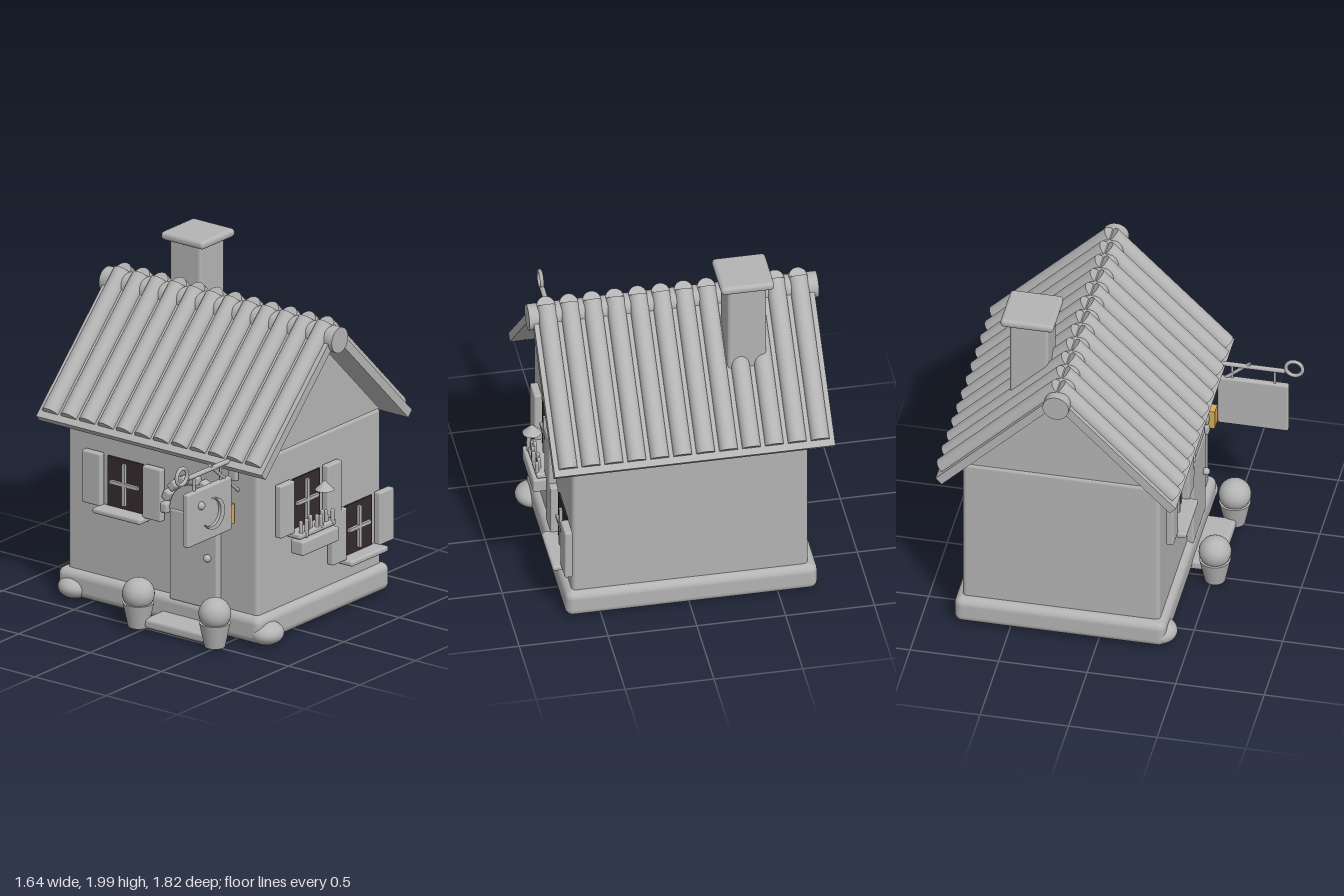
import * as THREE from 'three';
import { RoundedBoxGeometry } from 'three/addons/geometries/RoundedBoxGeometry.js';

const mat = (name, color) => {
  const m = new THREE.MeshStandardMaterial({ color });
  m.name = name;
  return m;
};

export function createModel() {
  const stone = mat('plain grey', 0xb4b4b4);
  const dark = mat('dark glass', 0x352b2e);
  const amber = mat('amber lamp', 0xd9ab55);
  const house = new THREE.Group();
  house.name = 'cottage';

  const add = (parent, name, geo, x, y, z, material = stone) => {
    const m = new THREE.Mesh(geo, material);
    m.name = name;
    m.position.set(x, y, z);
    parent.add(m);
    return m;
  };
  const group = (name, x, y, z, ry = 0) => {
    const g = new THREE.Group();
    g.name = name;
    g.position.set(x, y, z);
    g.rotation.y = ry;
    house.add(g);
    return g;
  };
  const rbox = (w, h, d, r = 0.01) => new RoundedBoxGeometry(w, h, d, 3, r);
  const box = (w, h, d) => new THREE.BoxGeometry(w, h, d);
  const ball = (r) => new THREE.SphereGeometry(r, 28, 18);
  // Round rod between two points
  const rod = (parent, name, a, b, r) => {
    const p = new THREE.Vector3(...a), q = new THREE.Vector3(...b);
    const m = add(parent, name, new THREE.CylinderGeometry(r, r, p.distanceTo(q), 14), 0, 0, 0);
    m.position.copy(p).lerp(q, 0.5);
    m.quaternion.setFromUnitVectors(new THREE.Vector3(0, 1, 0), q.sub(p).normalize());
  };

  // Walls, plinth and gable
  add(house, 'plinth', rbox(1.42, 0.16, 1.195, 0.045), -0.01, 0.1, -0.2175);
  add(house, 'walls', rbox(1.33, 0.96, 1.115, 0.025), -0.005, 0.61, -0.2175);
  const tri = new THREE.Shape();
  tri.moveTo(-0.55, 0);
  tri.lineTo(0.55, 0);
  tri.lineTo(0, 0.55);
  const gable = add(house, 'gable', new THREE.ExtrudeGeometry(tri, { depth: 1.31, bevelEnabled: false }), -0.66, 1.085, -0.2175);
  gable.rotation.y = Math.PI / 2;

  // Roof: two pitched slabs, each with twelve round tile rolls
  const ridgeZ = -0.22;
  for (const [side, turn] of [['front', 0], ['back', Math.PI]]) {
    const half = group(side + 'Roof', -0.01, 1.745, ridgeZ, turn);
    const slope = new THREE.Group();
    slope.name = side + 'Slope';
    slope.rotation.x = Math.PI / 4;
    half.add(slope);
    add(slope, 'roofSlab', box(1.58, 0.05, 0.96), 0, -0.025, 0.48);
    for (let i = 0; i < 12; i++) {
      const roll = add(slope, 'tileRoll', new THREE.CylinderGeometry(0.052, 0.052, 0.92, 24), (i - 5.5) * 0.129, 0, 0.46);
      roll.rotation.x = Math.PI / 2;
    }
  }
  const ridge = add(house, 'ridgeBeam', new THREE.CylinderGeometry(0.074, 0.074, 1.63, 28), -0.01, 1.675, ridgeZ + 0.005);
  ridge.rotation.z = Math.PI / 2;

  // Chimney
  add(house, 'chimney', rbox(0.22, 0.63, 0.22, 0.02), -0.37, 1.65, -0.44);
  add(house, 'chimneyCap', rbox(0.3, 0.05, 0.3, 0.022), -0.367, 1.975, -0.445);

  // Windows with cross bars, shutters and sill
  const window = (name, x, y, z, ry) => {
    const w = group(name, x, y, z, ry);
    add(w, 'pane', box(0.245, 0.292, 0.009), 0, 0, 0.008, dark);
    add(w, 'uprightBar', box(0.02, 0.245, 0.02), 0, 0, 0.02);
    add(w, 'crossBar', box(0.195, 0.02, 0.02), 0, 0, 0.02);
    for (const s of [-1, 1]) add(w, 'shutter', rbox(0.13, 0.308, 0.045), s * 0.212, 0.003, 0.028);
    add(w, 'sill', rbox(0.335, 0.035, 0.1, 0.014), 0, -0.163, 0.048);
    return w;
  };
  window('frontWindow', -0.258, 0.752, 0.34, 0);
  window('lowerSideWindow', 0.66, 0.46, -0.552, Math.PI / 2);
  const upper = window('upperSideWindow', 0.66, 0.752, -0.083, Math.PI / 2);

  // Flower box with stems and a small cone cap
  add(upper, 'flowerBox', rbox(0.33, 0.085, 0.09, 0.012), 0, -0.229, 0.072);
  for (let i = 0; i < 9; i++) {
    const h = 0.075 + 0.018 * Math.sin(i * 2.3);
    const stem = add(upper, 'stem', new THREE.CapsuleGeometry(0.012, h, 4, 10), (i - 4) * 0.034, -0.125, 0.08 + 0.012 * Math.sin(i * 1.7));
    stem.rotation.z = 0.12 * Math.sin(i * 3.1);
  }
  add(upper, 'flowerCap', new THREE.ConeGeometry(0.054, 0.055, 20), 0.05, 0.088, 0.102);

  // Arched door, knob and surrounding stones
  const door = group('door', 0.235, 0.69, 0.34);
  add(door, 'doorPanel', rbox(0.335, 0.535, 0.05, 0.012), 0, -0.262, 0.012);
  const arch = new THREE.Shape();
  arch.absarc(0, 0, 0.168, 0, Math.PI, false);
  add(door, 'doorArch', new THREE.ExtrudeGeometry(arch, { depth: 0.03, bevelEnabled: false, curveSegments: 24 }), 0, 0, 0);
  add(door, 'knob', ball(0.022), 0.11, -0.227, 0.05);
  for (let i = 0; i < 9; i++) {
    const a = (i * Math.PI) / 8;
    const block = add(door, 'archStone', rbox(0.05, 0.062, 0.06, 0.014), 0.2 * Math.cos(a), 0.2 * Math.sin(a), 0.02);
    block.rotation.z = a;
  }

  // Doorstep, potted bushes and corner boulders
  add(house, 'doorstep', rbox(0.44, 0.06, 0.2, 0.02), 0.235, 0.052, 0.44);
  for (const x of [-0.035, 0.5]) {
    const pot = group('pottedBush', x, 0, 0.52);
    add(pot, 'pot', new THREE.CylinderGeometry(0.088, 0.058, 0.14, 28), 0, 0.09, 0);
    add(pot, 'bush', ball(0.091), 0, 0.212, 0);
  }
  for (const [x, z] of [[-0.622, 0.33], [0.68, 0.285]]) {
    add(house, 'boulder', ball(0.1), x, 0.073, z).scale.set(0.98, 0.66, 1);
  }

  // Wall lamp
  add(house, 'wallLamp', box(0.07, 0.115, 0.07), 0.471, 0.753, 0.385, amber);

  // Hanging sign on its bracket
  const sign = group('hangingSign', 0.525, 0, 0);
  add(sign, 'wallPlate', rbox(0.06, 0.15, 0.03), -0.02, 1.025, 0.36);
  rod(sign, 'arm', [0, 1.088, 0.34], [0, 1.088, 0.8], 0.014);
  rod(sign, 'brace', [0, 0.89, 0.34], [0, 1.11, 0.6], 0.01);
  for (const z of [0.5, 0.74]) rod(sign, 'hanger', [0, 0.99, z], [0, 1.09, z], 0.008);
  add(sign, 'endRing', new THREE.TorusGeometry(0.047, 0.011, 12, 28), 0, 1.114, 0.85).rotation.y = Math.PI / 2;
  add(sign, 'board', rbox(0.038, 0.315, 0.4, 0.012), 0, 0.842, 0.619);
  add(sign, 'star', ball(0.024), 0.02, 0.906, 0.703);

  // Crescent relief: outer arc, then a smaller offset arc back
  const r = 0.09, tilt = (155 * Math.PI) / 180, tip = (58 * Math.PI) / 180;
  const off = 0.3 * r, inner = Math.hypot(r * Math.cos(tip) - off, r * Math.sin(tip));
  const tip2 = Math.atan2(r * Math.sin(tip), r * Math.cos(tip) - off);
  const moon = new THREE.Shape();
  moon.absarc(0, 0, r, tilt + tip, tilt - tip + 2 * Math.PI, false);
  moon.absarc(off * Math.cos(tilt), off * Math.sin(tilt), inner, tilt - tip2 + 2 * Math.PI, tilt + tip2, true);
  add(sign, 'crescent', new THREE.ExtrudeGeometry(moon, { depth: 0.022, bevelEnabled: false, curveSegments: 24 }), 0.015, 0.833, 0.598).rotation.y = Math.PI / 2;

  return house;
}
